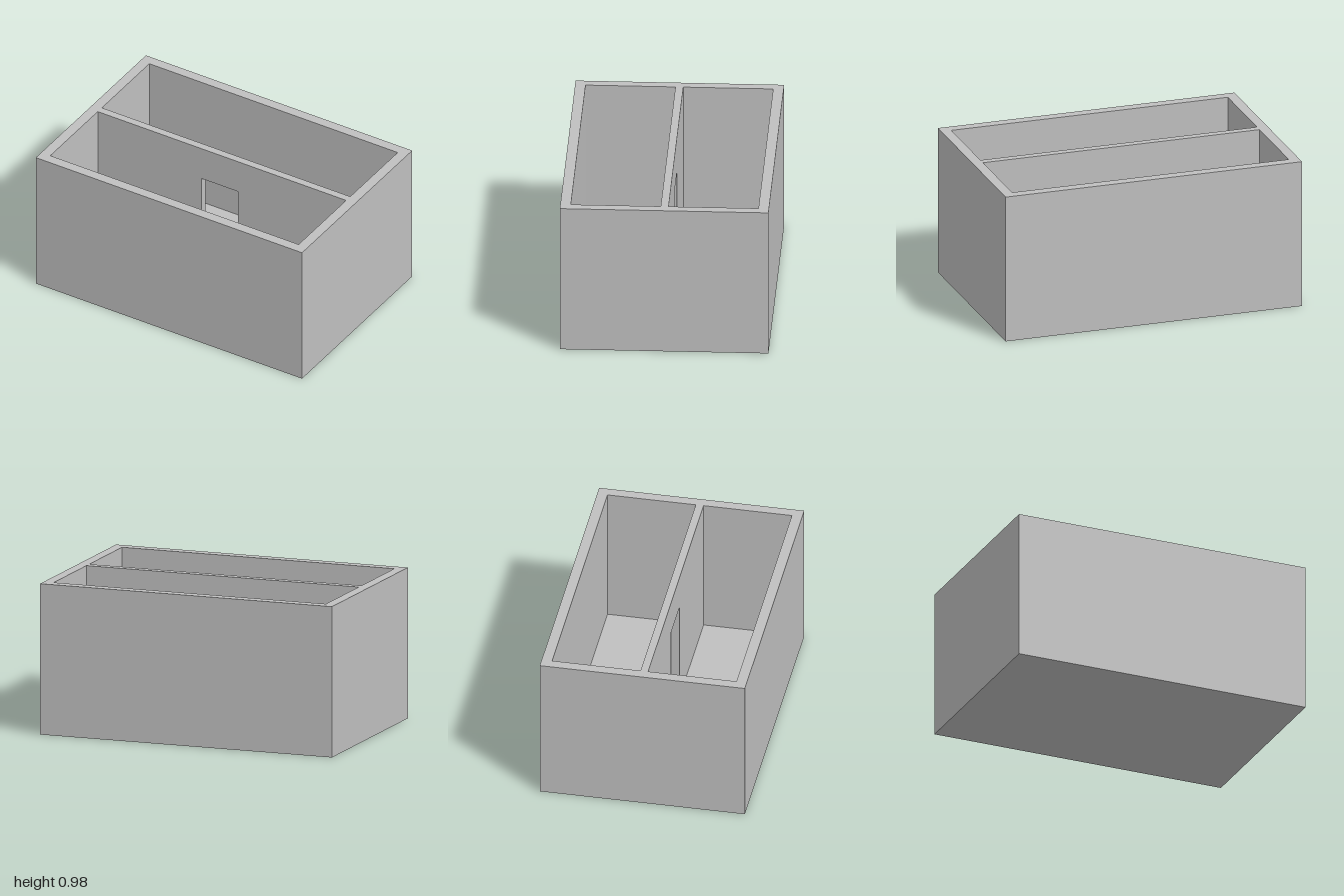
import * as THREE from 'three';

const WIDTH = 2, DEPTH = 1.333, HEIGHT = 0.983;
const WALL = 0.067, FLOOR = 0.05, DIVIDER = 0.05;
const DOOR = { left: -0.155, right: 0.12, top: 0.75 };

// Traces a closed rectangle on a shape or path
function rect(path, x0, y0, x1, y1) {
  path.moveTo(x0, y0);
  path.lineTo(x1, y0);
  path.lineTo(x1, y1);
  path.lineTo(x0, y1);
  path.closePath();
  return path;
}

export function createModel() {
  const model = new THREE.Group();
  model.name = 'twoRoomBox';
  const grey = new THREE.MeshStandardMaterial({ color: 0xc0c0c0 });
  grey.name = 'plain grey';

  function add(name, geometry) {
    const mesh = new THREE.Mesh(geometry, grey);
    mesh.name = name;
    model.add(mesh);
    return mesh;
  }

  // Floor slab
  add('floor', new THREE.BoxGeometry(WIDTH, FLOOR, DEPTH)).position.y = FLOOR / 2;

  // Outer walls: a rectangular ring raised from the floor
  const w = WIDTH / 2, d = DEPTH / 2, iw = w - WALL, id = d - WALL;
  const ring = rect(new THREE.Shape(), -w, -d, w, d);
  ring.holes.push(rect(new THREE.Path(), -iw, -id, iw, id));
  const walls = new THREE.ExtrudeGeometry(ring, { depth: HEIGHT - FLOOR, bevelEnabled: false });
  walls.rotateX(-Math.PI / 2);
  add('outerWalls', walls).position.y = FLOOR;

  // Dividing wall with a doorway cut up from the floor
  const panel = new THREE.Shape([
    [-iw, FLOOR], [DOOR.left, FLOOR], [DOOR.left, DOOR.top], [DOOR.right, DOOR.top],
    [DOOR.right, FLOOR], [iw, FLOOR], [iw, HEIGHT], [-iw, HEIGHT],
  ].map(([x, y]) => new THREE.Vector2(x, y)));
  const divider = new THREE.ExtrudeGeometry(panel, { depth: DIVIDER, bevelEnabled: false });
  add('dividingWall', divider).position.z = -DIVIDER / 2;

  return model;
}
